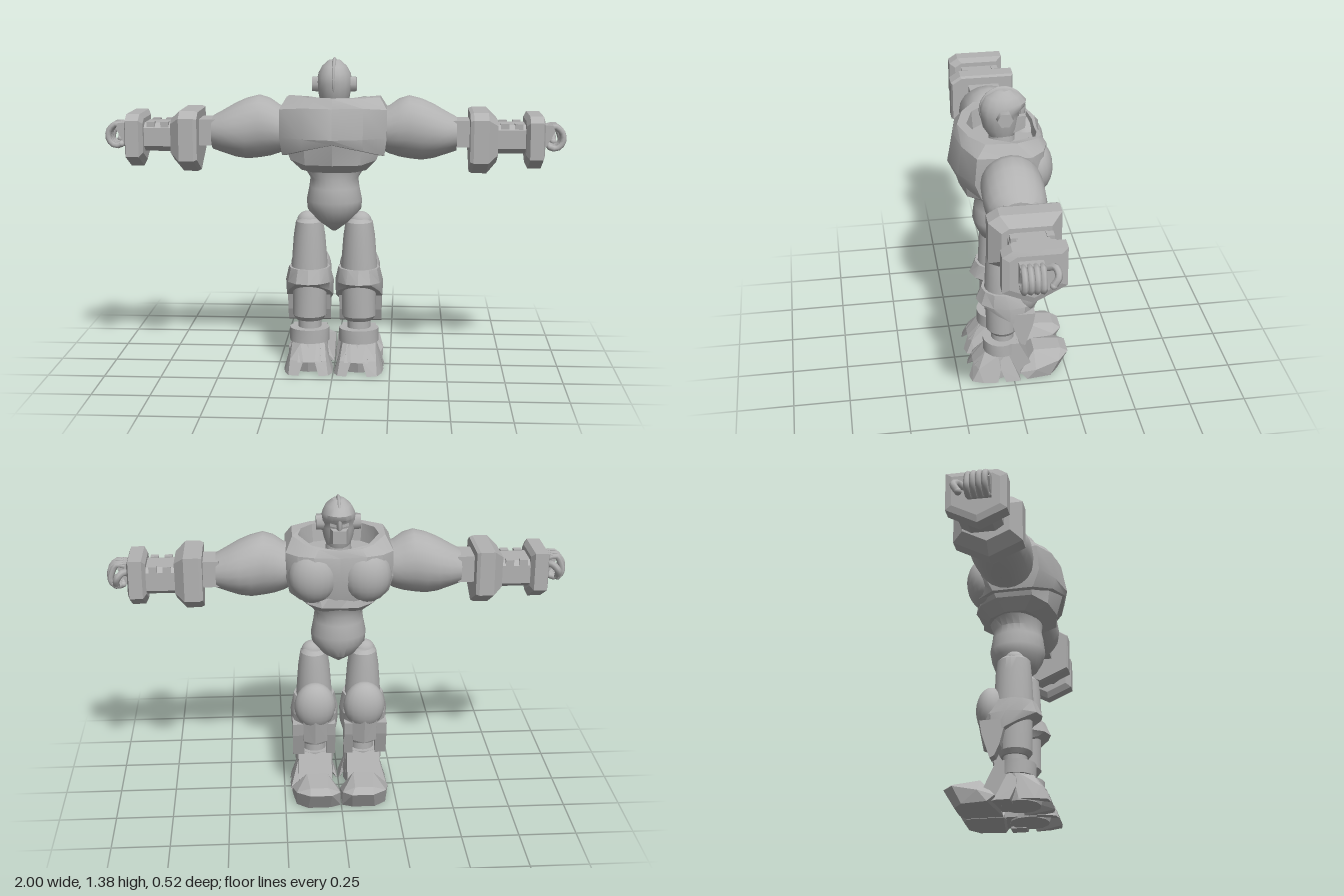
import * as THREE from 'three';
import { toCreasedNormals } from 'three/addons/utils/BufferGeometryUtils.js';
import { ConvexGeometry } from 'three/addons/geometries/ConvexGeometry.js';

// Closed solid through a list of rings with equal point counts; winding is fixed by volume
function loft(rings, crease = 0.6) {
  const n = rings[0].length, tris = [];
  const mid = (r) => r.reduce((s, p) => s.map((v, i) => v + p[i] / n), [0, 0, 0]);
  const first = mid(rings[0]), last = mid(rings[rings.length - 1]);
  for (let j = 0; j < n; j++) {
    const k = (j + 1) % n;
    for (let i = 0; i + 1 < rings.length; i++) {
      const a = rings[i], b = rings[i + 1];
      tris.push([a[j], a[k], b[k]], [a[j], b[k], b[j]]);
    }
    tris.push([first, rings[0][k], rings[0][j]]);
    tris.push([last, rings[rings.length - 1][j], rings[rings.length - 1][k]]);
  }
  let volume = 0;
  for (const [a, b, c] of tris) {
    volume += new THREE.Vector3(...a).dot(new THREE.Vector3(...b).cross(new THREE.Vector3(...c)));
  }
  const out = tris.flatMap(([a, b, c]) => (volume > 0 ? [a, b, c] : [a, c, b])).flat();
  const g = new THREE.BufferGeometry();
  g.setAttribute('position', new THREE.Float32BufferAttribute(out, 3));
  return toCreasedNormals(g, crease);
}

const hull = (pts) => new ConvexGeometry(pts.map((p) => new THREE.Vector3(...p)));
const box = (x, y, z, w, h, d) => new THREE.BoxGeometry(w, h, d).translate(x, y, z);
const ball = (x, y, z, rx, ry, rz) =>
  new THREE.SphereGeometry(1, 20, 14).scale(rx, ry, rz).translate(x, y, z);
const symmetric = (half) => [...half, ...half.slice(1, -1).reverse().map(([x, y, z]) => [-x, y, z])];

// Horizontal ellipse ring; y may be a function of t, 0 at +z and 1 at -z
const flatRing = (cx, y, rx, zBack, zFront, n = 20) => Array.from({ length: n }, (_, i) => {
  const a = (i / n) * Math.PI * 2, t = (1 - Math.cos(a)) / 2;
  return [cx + rx * Math.sin(a), typeof y === 'function' ? y(t) : y, zBack + (zFront - zBack) * t];
});

// Section across the arm, scaled about its middle; profile holds [z, y]
const armRing = (x, profile, s = 1) =>
  profile.map(([z, y]) => [x, 1.04 + (y - 1.04) * s, 0.03 + (z - 0.03) * s]);

function mirrored(g) {
  const m = g.index ? g.toNonIndexed() : g.clone();
  for (const name of ['position', 'normal']) {
    const at = m.attributes[name];
    for (let i = 0; i < at.count; i += 3) {
      const v = [0, 2, 1].map((k) => [-at.getX(i + k), at.getY(i + k), at.getZ(i + k)]);
      v.forEach((p, k) => at.setXYZ(i + k, ...p));
    }
  }
  return m;
}

export function createModel() {
  const grey = new THREE.MeshStandardMaterial({ color: 0xb2b2b2 });
  grey.name = 'grey metal';
  const model = new THREE.Group();
  model.name = 'robot';
  const add = (name, g) => {
    const mesh = new THREE.Mesh(g, grey);
    mesh.name = name;
    model.add(mesh);
  };
  const pair = (name, g) => {
    add(name + 'Left', g);
    add(name + 'Right', mirrored(g));
  };

  // Chest shell with a sunken collar
  const collar = [[0, 1.18, -0.115], [0.06, 1.19, -0.115], [0.12, 1.2, -0.1], [0.175, 1.21, 0.02],
    [0.16, 1.22, 0.08], [0.11, 1.22, 0.14], [0, 1.22, 0.175]];
  add('chestShell', loft([
    [[0, 0.96, -0.12], [0.1, 0.95, -0.13], [0.17, 0.96, -0.11], [0.215, 0.97, -0.04], [0.22, 0.97, 0.14], [0.13, 1, 0.215], [0, 1.03, 0.25]],
    [[0, 1.05, -0.14], [0.11, 1.05, -0.155], [0.19, 1.05, -0.13], [0.23, 1.05, -0.08], [0.23, 1.05, 0.17], [0.13, 1.05, 0.228], [0, 1.05, 0.26]],
    [[0, 1.15, -0.135], [0.11, 1.16, -0.15], [0.18, 1.16, -0.125], [0.23, 1.16, -0.07], [0.23, 1.17, 0.16], [0.13, 1.18, 0.212], [0, 1.18, 0.235]],
    [[0, 1.18, -0.125], [0.09, 1.19, -0.13], [0.14, 1.2, -0.105], [0.2, 1.215, -0.01], [0.2, 1.22, 0.12], [0.12, 1.22, 0.18], [0, 1.22, 0.215]],
    collar,
    collar.map(([x, , z]) => [x * 0.95, 1.14, 0.03 + (z - 0.03) * 0.95]),
  ].map(symmetric), 0.5));
  pair('chestPlate', ball(0.113, 1.06, -0.09, 0.108, 0.12, 0.085));

  // Rib armour below the shell
  add('ribArmour', loft([
    [[0, 1.04, -0.11], [0.1, 1.04, -0.11], [0.15, 1.02, -0.1], [0.2, 1, -0.05], [0.205, 1, 0.13], [0.12, 1.03, 0.2], [0, 1.04, 0.242]],
    [[0, 0.92, -0.12], [0.08, 0.93, -0.14], [0.14, 0.94, -0.11], [0.185, 0.95, -0.03], [0.185, 0.95, 0.13], [0.12, 0.935, 0.19], [0, 0.935, 0.212]],
    [[0, 0.895, -0.08], [0.07, 0.895, -0.085], [0.1, 0.895, -0.07], [0.14, 0.9, 0], [0.14, 0.9, 0.09], [0.09, 0.895, 0.13], [0, 0.895, 0.15]],
  ].map(symmetric), 0.3));

  // Waist and pelvis
  add('abdomen', loft([
    [0.92, 0.14, 0.148, -0.1], [0.9, 0.13, 0.145, -0.09], [0.86, 0.105, 0.14, -0.075],
    [0.82, 0.11, 0.148, -0.08], [0.76, 0.122, 0.156, -0.09], [0.72, 0.118, 0.145, -0.083],
    [0.67, 0.075, 0.12, -0.065], [0.625, 0.012, 0.06, 0.01],
  ].map(([y, rx, b, f]) => flatRing(0, y, rx, b, f, 24)), 0.7));

  // Head: helmet, crest, ears and face
  add('neck', new THREE.CylinderGeometry(0.05, 0.06, 0.1, 16).translate(0, 1.16, 0.025));
  add('helmet', loft([
    [1.16, 0.05, 0.08, -0.03], [1.2, 0.064, 0.105, -0.045], [1.25, 0.073, 0.115, -0.05], [1.275, 0.075, 0.118, -0.055],
    [1.295, 0.074, 0.118, -0.075], [1.315, 0.07, 0.112, -0.08], [1.345, 0.054, 0.095, -0.055], [1.37, 0.026, 0.05, -0.015],
  ].map(([y, rx, b, f]) => flatRing(0, y, rx, b, f, 16)), 0.7));
  add('crest', ball(0, 1.28, 0.022, 0.02, 0.103, 0.1));
  pair('ear', new THREE.CylinderGeometry(0.034, 0.038, 0.04, 6).rotateZ(-Math.PI / 2).translate(0.076, 1.267, 0.022));
  add('facePlate', hull([-1, 1].flatMap((s) => [[s * 0.04, 1.255, -0.03], [s * 0.028, 1.252, -0.075],
    [s * 0.042, 1.18, -0.02], [s * 0.028, 1.195, -0.072]])));
  pair('eye', hull([[0.006, 1.272, -0.058], [0.04, 1.28, -0.048], [0.04, 1.266, -0.048], [0.006, 1.262, -0.058], [0.02, 1.27, -0.03]]));

  // Upper arm: x, middle y, half height, half depth
  pair('upperArm', loft([
    [0.2, 1.075, 0.09, 0.1], [0.24, 1.072, 0.106, 0.115], [0.28, 1.08, 0.127, 0.124], [0.325, 1.083, 0.138, 0.128],
    [0.38, 1.073, 0.134, 0.13], [0.43, 1.066, 0.119, 0.128], [0.48, 1.06, 0.096, 0.117], [0.53, 1.055, 0.074, 0.09],
  ].map(([x, cy, ry, rz]) => flatRing(0, 0, 1, 1, -1, 20).map(([c, , s]) => [x, cy + ry * c, 0.03 + rz * s])), 0.7));
  pair('elbow', box(0.56, 1.06, 0.025, 0.09, 0.115, 0.14));

  // Forearm with angular cuffs
  const cuff = [[0.175, 1.128], [0.13, 1.157], [-0.115, 1.157], [-0.115, 0.963], [0.035, 0.882], [0.175, 0.945]];
  const forearm = [[0.105, 1.08], [0.08, 1.1], [-0.05, 1.1], [-0.07, 1.08], [-0.07, 1], [-0.03, 0.975], [0.07, 0.975], [0.105, 1]];
  pair('elbowCuff', loft([armRing(0.585, cuff, 0.95), armRing(0.6, cuff), armRing(0.663, cuff), armRing(0.705, cuff, 0.68)], 0.2));
  pair('forearm', loft([armRing(0.6, forearm), armRing(0.86, forearm)], 0.2));
  pair('wristCuff', loft([armRing(0.825, cuff, 0.68), armRing(0.84, cuff, 0.86), armRing(0.897, cuff, 0.86), armRing(0.905, cuff, 0.68)], 0.2));
  for (const x of [0.735, 0.795]) {
    for (const z of [-0.055, 0.087]) pair('forearmStud', box(x, 1.093, z, 0.035, 0.026, 0.03));
  }

  // Hand: knuckles and curled fingers leaving an open grip
  pair('palm', hull([0.0, 0.095].flatMap((z) => [[0.89, 1.1, z], [0.94, 1.1, z], [0.95, 1.075, z], [0.915, 1.05, z], [0.915, 1.01, z], [0.89, 1, z]])));
  const tube = (pts, r) => new THREE.TubeGeometry(
    new THREE.CatmullRomCurve3(pts.map((p) => new THREE.Vector3(...p))), 10, r, 7, false);
  for (let i = 0; i < 4; i++) {
    const z = 0.082 - i * 0.024, reach = i === 3 ? 0.975 : 0.985;
    const tip = [0.93, 1.005, z];
    pair('finger', tube([[0.92, 1.087, z], [0.955, 1.092, z], [reach, 1.06, z], [0.982, 1.02, z], [0.955, 0.998, z], tip], 0.0135));
    pair('fingertip', ball(...tip, 0.0135, 0.0135, 0.0135));
  }
  pair('thumb', tube([[0.895, 1.06, -0.01], [0.925, 1.075, -0.042], [0.95, 1.05, -0.05], [0.955, 1.015, -0.03]], 0.015));
  pair('thumbTip', ball(0.955, 1.015, -0.03, 0.015, 0.015, 0.015));

  // Leg: hip, thigh, shin and ankle
  const cx = 0.11;
  pair('hip', ball(0.115, 0.665, 0.04, 0.05, 0.045, 0.045));
  pair('thigh', loft([[0.68, 0.046, 0.09, -0.02], [0.665, 0.06, 0.108, -0.038], [0.6, 0.07, 0.114, -0.045], [0.44, 0.082, 0.122, -0.05]]
    .map(([y, rx, b, f]) => flatRing(cx, y, rx, b, f))));
  pair('shin', loft([[0.42, 0.075, 0.115, -0.04], [0.24, 0.075, 0.115, -0.03], [0.22, 0.062, 0.1, -0.02]]
    .map(([y, rx, b, f]) => flatRing(cx, y, rx, b, f)), 0.5));
  pair('ankle', new THREE.CylinderGeometry(0.052, 0.052, 0.08, 16).translate(cx, 0.2, 0.04));

  // Knee guard with a raised dome and two downward prongs
  pair('kneeGuard', loft([
    flatRing(cx, 0.46, 0.092, 0.135, -0.06, 12),
    flatRing(cx, (t) => 0.4 - 0.01 * t, 0.107, 0.16, -0.12, 12),
    flatRing(cx, (t) => 0.39 - 0.13 * t, 0.104, 0.13, -0.095, 12),
  ], 0.5));
  pair('kneeDome', ball(cx, 0.435, -0.06, 0.092, 0.11, 0.068));
  for (const [x0, x1] of [[0.02, 0.06], [0.16, 0.21]]) {
    pair('shinProng', hull([x0, x1].flatMap((x) => [[x, 0.36, 0.02], [x, 0.36, -0.095], [x, 0.3, -0.085],
      [x, 0.25, -0.008], [x, 0.2, -0.03], [x, 0.19, -0.05]])));
  }

  // Foot: ankle collar, instep, toe and heel claws
  pair('ankleCollar', loft([flatRing(cx, 0.185, 0.088, 0.13, -0.03), flatRing(cx, 0.125, 0.088, 0.13, -0.03)]));
  pair('instep', hull([0.035, 0.185].flatMap((x) => [[x, 0.184, 0.03], [x, 0.184, -0.026], [x, 0.07, -0.08], [x, 0.01, -0.05], [x, 0.01, 0.06]])));
  pair('toe', hull([
    [0.003, 0, -0.03], [0.003, 0, -0.19], [0.05, 0, -0.21], [0.15, 0, -0.21], [0.2, 0, -0.17], [0.215, 0, -0.06],
    [0.005, 0.08, -0.22], [0.045, 0.085, -0.26], [0.14, 0.085, -0.26], [0.2, 0.08, -0.21], [0.218, 0.05, -0.1],
    [0.06, 0.106, -0.225], [0.14, 0.106, -0.225], [0.06, 0.115, -0.1], [0.15, 0.115, -0.1], [0.03, 0.03, -0.03], [0.2, 0.03, -0.03],
  ]));
  pair('heelCore', loft([flatRing(cx, 0.13, 0.078, 0.12, -0.02, 12), flatRing(cx, 0.06, 0.088, 0.165, -0.02, 12),
    flatRing(cx, 0.003, 0.085, 0.15, -0.02, 12)], 0.4));
  pair('heelBridge', hull([[0.06, 0.125, 0.12], [0.15, 0.125, 0.12], [0.05, 0.055, 0.178], [0.155, 0.055, 0.178], [0.05, 0.06, 0.1], [0.155, 0.06, 0.1]]));
  pair('innerHeelClaw', hull([[0.04, 0.125, 0.1], [0.075, 0.125, 0.125], [0.003, 0, 0.06], [0.003, 0, 0.15], [0.02, 0, 0.19], [0.06, 0, 0.2],
    [0.08, 0.06, 0.178], [0.03, 0.06, 0.165], [0.04, 0.06, 0.06]]));
  pair('outerHeelClaw', hull([[0.185, 0.125, 0.07], [0.145, 0.125, 0.125], [0.222, 0, 0.075], [0.215, 0, 0.14], [0.195, 0, 0.19], [0.15, 0, 0.2],
    [0.13, 0.06, 0.178], [0.19, 0.06, 0.16], [0.205, 0.06, 0.06]]));
  pair('sideClaw', hull([[0.185, 0.125, 0.06], [0.185, 0.125, 0.02], [0.205, 0.06, 0.06], [0.222, 0, 0.038], [0.222, 0, -0.03], [0.16, 0, -0.03], [0.16, 0, 0.04], [0.16, 0.1, 0.03]]));

  return model;
}
